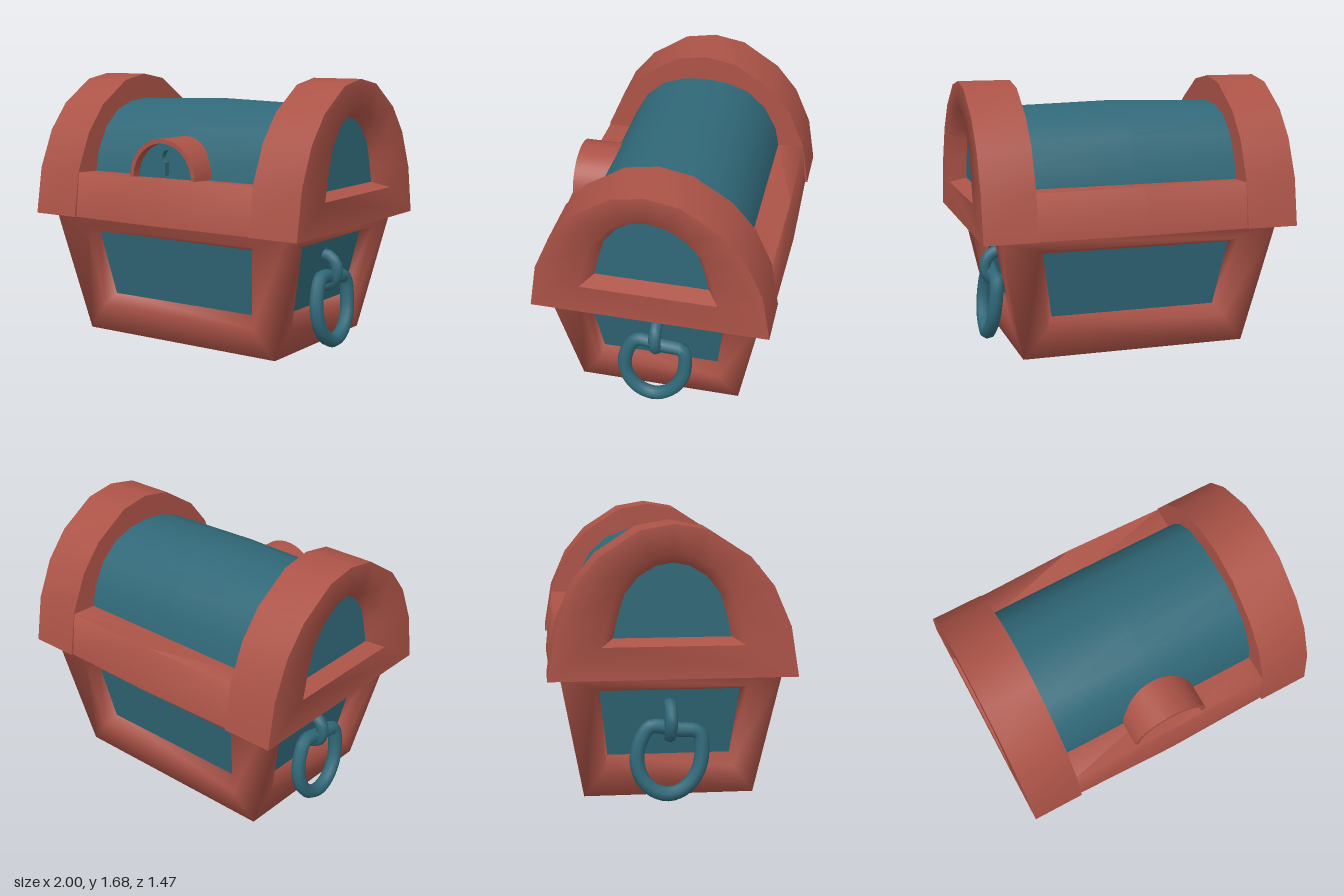
import * as THREE from 'three';
import { mergeGeometries, toCreasedNormals } from 'three/addons/utils/BufferGeometryUtils.js';

// Mirrors a half profile of [z, y] points (front foot to apex) to the back.
const mirrorProfile = (half) => [
  ...half,
  ...half.filter(([z]) => z !== 0).reverse().map(([z, y]) => [-z, y]),
];

const atX = (profile, x) => profile.map(([z, y]) => [x, y, z]);

// Skin over closed loops that run clockwise as seen from outside.
function loft(rings) {
  const n = rings[0].length;
  const index = [];
  for (let r = 0; r < rings.length - 1; r++) {
    for (let j = 0; j < n; j++) {
      const k = (j + 1) % n;
      const a = r * n + j, b = r * n + k, c = (r + 1) * n + k, d = (r + 1) * n + j;
      index.push(a, d, c, a, c, b);
    }
  }
  const geometry = new THREE.BufferGeometry();
  geometry.setAttribute('position', new THREE.Float32BufferAttribute(rings.flat(2), 3));
  geometry.setIndex(index);
  return geometry;
}

// Flat fan filling one clockwise loop.
function cap(ring) {
  const index = [];
  for (let j = 1; j < ring.length - 1; j++) index.push(0, j + 1, j);
  const geometry = new THREE.BufferGeometry();
  geometry.setAttribute('position', new THREE.Float32BufferAttribute(ring.flat(), 3));
  geometry.setIndex(index);
  geometry.computeVertexNormals();
  return geometry;
}

// Trapezoid loop facing +z: bottom and top given as [y, half width, z].
const trapezoid = ([y0, w0, z0], [y1, w1, z1]) => [
  [-w0, y0, z0], [-w1, y1, z1], [w1, y1, z1], [w0, y0, z0],
];

export function createModel() {
  const red = new THREE.MeshStandardMaterial({ color: 0xac5347 });
  red.name = 'red frame';
  const teal = new THREE.MeshStandardMaterial({ color: 0x306878 });
  teal.name = 'teal panel';

  const chest = new THREE.Group();
  chest.name = 'chest';
  const add = (parent, name, geometry, material) => {
    const mesh = new THREE.Mesh(geometry, material);
    mesh.name = name;
    parent.add(mesh);
    return mesh;
  };

  // Tapered base: four framed walls and a framed floor, each with a recessed panel
  const halfX = (y) => 0.725 + 0.205 * (y - 0.01);
  const halfZ = (y) => 0.52 + 0.18 * (y - 0.01);
  const frames = [];
  const panels = [];
  const addFace = (rings, place) => {
    frames.push(place(loft(rings)));
    panels.push(place(cap(rings[rings.length - 1])));
  };
  const wall = (width, depth, openBottom, openTop, innerBottom, innerTop) => [
    trapezoid([0.01, width(0.01), depth(0.01)], [0.79, width(0.79), depth(0.79)]),
    trapezoid([0.19, openBottom, depth(0.19)], [0.715, openTop, depth(0.715)]),
    trapezoid([0.26, innerBottom, depth(0.26) - 0.08], [0.68, innerTop, depth(0.68) - 0.08]),
  ];
  const longWall = wall(halfX, halfZ, 0.58, 0.64, 0.535, 0.605);
  const endWall = wall(halfZ, halfX, 0.39, 0.455, 0.375, 0.425);
  for (const turn of [0, Math.PI]) {
    addFace(longWall, (g) => g.rotateY(turn));
    addFace(endWall, (g) => g.rotateY(turn + Math.PI / 2));
  }
  addFace([
    trapezoid([-0.52, 0.725, -0.01], [0.52, 0.725, -0.01]),
    trapezoid([-0.4, 0.6, -0.01], [0.4, 0.6, -0.01]),
    trapezoid([-0.37, 0.57, -0.06], [0.37, 0.57, -0.06]),
  ], (g) => g.rotateX(Math.PI / 2));
  add(chest, 'baseFrame', toCreasedNormals(mergeGeometries(frames), 1.65), red);
  add(chest, 'basePanels', mergeGeometries(panels), teal);

  // Lid rails between the two end arches, bulging slightly in the middle
  const rail = (bulge) => mirrorProfile([[0.72 + bulge, 0.79], [0.685 + bulge, 1.075 + bulge / 2], [0.51, 1.07]]);
  add(chest, 'lidRails',
    toCreasedNormals(loft([atX(rail(0), -0.67), atX(rail(0.015), 0), atX(rail(0), 0.67)]), 1.5), red);

  // Curved lid panel
  const barrel = mirrorProfile([[0.52, 1.05], [0.49, 1.2], [0.41, 1.35], [0.29, 1.46], [0.15, 1.51], [0, 1.525]]);
  const crown = barrel.map(([z, y]) => [z, 1.05 + (y - 1.05) * 1.04]);
  add(chest, 'lidPanel',
    toCreasedNormals(loft([atX(barrel, -0.68), atX(crown, 0), atX(barrel, 0.68)]), 1.2), teal);

  // End arch with its recessed panel
  const outer = mirrorProfile([[0.735, 0.79], [0.685, 1.09], [0.58, 1.33], [0.44, 1.5], [0.2, 1.655], [0, 1.69]]);
  const inner = mirrorProfile([[0.35, 1.02], [0.32, 1.15], [0.28, 1.28], [0.2, 1.38], [0.1, 1.44], [0, 1.46]]);
  const opening = inner.map(([z, y]) => [z * 1.2, 1.18 + (y - 1.18) * 1.22]);

  // Hanging handle path as [z, y]
  const handlePoints = [
    [0.12, 0.46], [-0.04, 0.44], [-0.17, 0.42], [-0.19, 0.32], [-0.165, 0.19], [-0.09, 0.09],
    [0.01, 0.05], [0.11, 0.08], [0.18, 0.16], [0.205, 0.27], [0.175, 0.39],
  ].map(([z, y]) => new THREE.Vector3(0.85 - (y - 0.05) * 0.1, y, z));
  const handlePath = new THREE.CatmullRomCurve3(handlePoints, true);

  for (const [side, turn] of [['left', 0], ['right', Math.PI]]) {
    const end = new THREE.Group();
    end.name = side + 'End';
    end.rotation.y = turn;
    const rings = [
      atX(barrel, 0.67), atX(outer, 0.67), atX(outer, 1), atX(opening, 1), atX(inner, 0.9),
    ];
    add(end, 'lidArch', toCreasedNormals(loft(rings), 1.2), red);
    add(end, 'lidArchPanel', cap(rings[4]), teal);
    add(end, 'handleRing', new THREE.TubeGeometry(handlePath, 44, 0.045, 8, true), teal);
    add(end, 'handleStaple', new THREE.TorusGeometry(0.1, 0.04, 8, 16), teal).position.set(0.755, 0.488, 0);
    chest.add(end);
  }

  // Lock: half-round hood around a plate with a keyhole
  const lock = new THREE.Group();
  lock.name = 'lock';
  lock.position.y = 1.075;
  const hood = new THREE.Shape();
  hood.absarc(0, 0, 0.25, 0, Math.PI, false);
  hood.absarc(0, 0, 0.222, Math.PI, 0, true);
  const hoodGeometry = new THREE.ExtrudeGeometry(hood, { depth: 0.28, bevelEnabled: false, curveSegments: 14 });
  add(lock, 'lockHood', toCreasedNormals(hoodGeometry, 0.6), red).position.z = 0.4;

  const plate = new THREE.Shape();
  plate.absarc(0, 0, 0.235, 0, Math.PI, false);
  const keyhole = new THREE.Path();
  keyhole.absarc(0, 0.135, 0.042, -1.05, Math.PI + 1.05, false);
  keyhole.lineTo(-0.021, 0.015);
  keyhole.lineTo(0.021, 0.015);
  plate.holes.push(keyhole);
  add(lock, 'lockPlate',
    new THREE.ExtrudeGeometry(plate, { depth: 0.04, bevelEnabled: false, curveSegments: 14 }), teal).position.z = 0.58;
  add(lock, 'lockBacking', new THREE.CircleGeometry(0.235, 16, 0, Math.PI), teal).position.z = 0.56;
  chest.add(lock);

  return chest;
}
